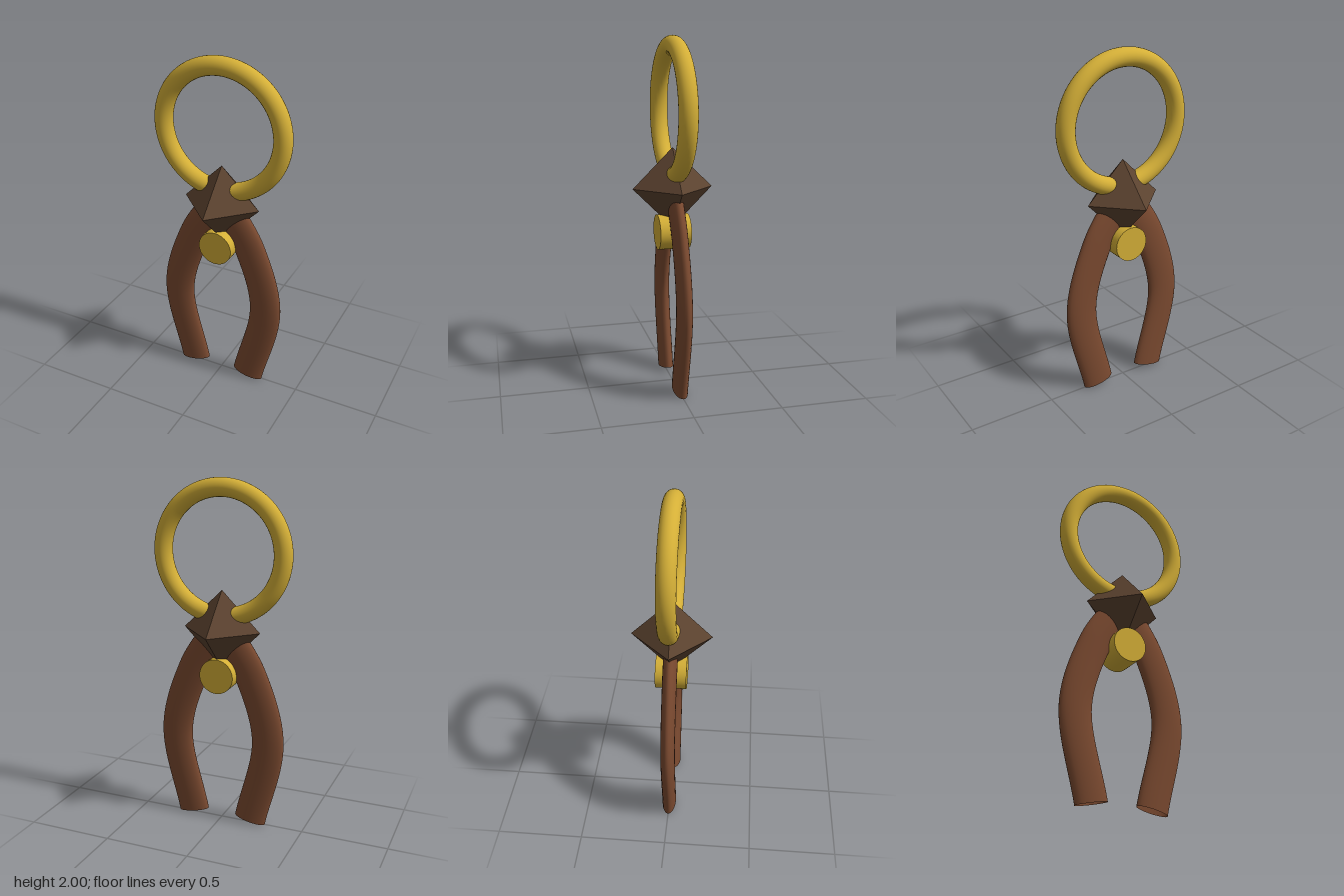
import * as THREE from 'three';

export function createModel() {
  const model = new THREE.Group();
  const gold = new THREE.MeshStandardMaterial({ name: 'gold', color: 0xd4af37 });
  const darkBrown = new THREE.MeshStandardMaterial({ name: 'darkBrown', color: 0x5c4330, flatShading: true });
  const leather = new THREE.MeshStandardMaterial({ name: 'leather', color: 0x7b4a30, side: THREE.DoubleSide });

  const add = (name, geometry, material, y = 0) => {
    const mesh = new THREE.Mesh(geometry, material);
    mesh.name = name;
    mesh.position.y = y;
    model.add(mesh);
    return mesh;
  };

  // Large hanging ring
  add('ring', new THREE.TorusGeometry(0.354, 0.052, 24, 96), gold, 1.594);

  // Faceted block joining ring and legs
  add('block', new THREE.OctahedronGeometry(0.228), darkBrown, 1.162);

  // Pivot pin, running front to back
  add('pin', new THREE.CylinderGeometry(0.1, 0.1, 0.178, 48).rotateX(Math.PI / 2), gold, 0.91);

  // Bowed legs: open tubes flattened in depth, mirrored across x
  for (const [name, s] of [['leftLeg', 1], ['rightLeg', -1]]) {
    const path = new THREE.CatmullRomCurve3([
      [0.18, 0.022], [0.283, 0.53], [0.175, 0.91], [0.06, 1.1],
    ].map(([x, y]) => new THREE.Vector3(s * x, y, 0)));
    add(name, new THREE.TubeGeometry(path, 48, 0.095, 24, false).scale(1, 1, 0.43), leather);
  }

  return model;
}
